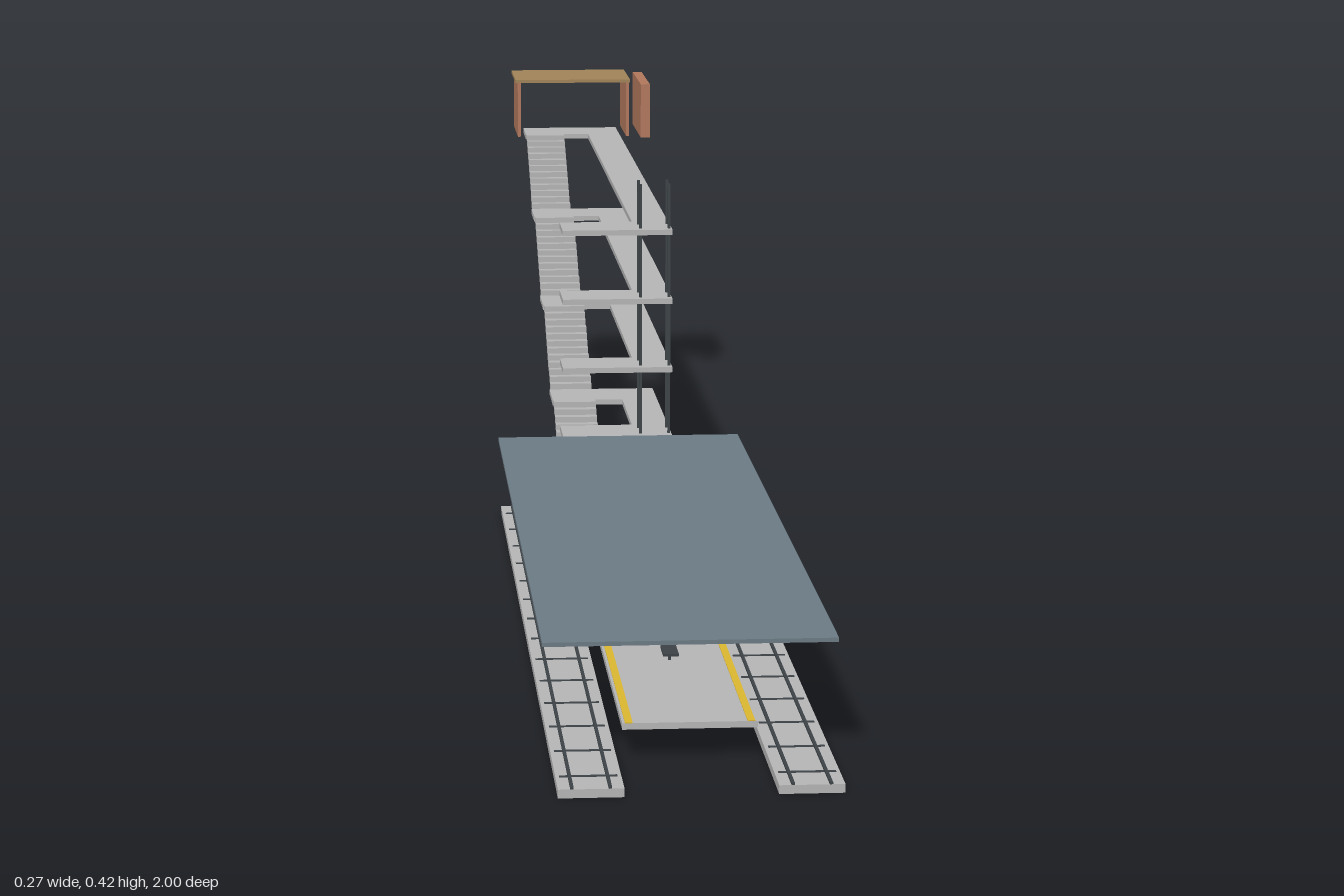
import * as THREE from 'three';

const mat = (name, color) => Object.assign(new THREE.MeshStandardMaterial({ color }), { name });

export function createModel() {
  const concrete = mat('concrete', 0xb4b4b4);
  const slate = mat('canopy slate', 0x6b7a84);
  const steel = mat('dark steel', 0x3c4246);
  const post = mat('post grey', 0x66707a);
  const yellow = mat('safety yellow', 0xd9b52e);
  const wall = mat('wall brown', 0xb0775c);
  const roof = mat('roof tan', 0xa08358);

  const model = new THREE.Group();
  model.name = 'station';

  // Box given by its limits on each axis
  const box = (name, material, [x0, x1], [y0, y1], [z0, z1], parent = model) => {
    const mesh = new THREE.Mesh(new THREE.BoxGeometry(x1 - x0, y1 - y0, z1 - z0), material);
    mesh.position.set((x0 + x1) / 2, (y0 + y1) / 2, (z0 + z1) / 2);
    mesh.name = name;
    parent.add(mesh);
    return mesh;
  };
  const around = (c, size) => [c - size / 2, c + size / 2];
  const group = (name) => {
    const g = new THREE.Group();
    g.name = name;
    model.add(g);
    return g;
  };

  // Two tracks: bed, sleepers and rails
  for (const side of [-1, 1]) {
    const track = group(side > 0 ? 'leftTrack' : 'rightTrack');
    const cx = side * 0.098;
    box('trackBed', concrete, around(cx, 0.059), [0, 0.008], [-0.16, 1], track);
    for (let i = 0; i < 14; i++) {
      box('sleeper', steel, around(cx, 0.052), [0.008, 0.0085], around(-0.12 + i * 0.083, 0.005), track);
    }
    for (const r of [-1, 1]) {
      box('rail', steel, around(cx + r * 0.017, 0.003), [0.008, 0.01], [-0.16, 1], track);
    }
  }

  // Platform with yellow edge strips
  const platform = group('platform');
  box('platformSlab', concrete, [-0.062, 0.062], [0.028, 0.034], [-0.113, 0.88], platform);
  for (const side of [-1, 1]) {
    box('edgeStrip', yellow, around(side * 0.056, 0.007), [0.034, 0.0347], [-0.04, 0.88], platform);
  }

  // Canopy on a central row of posts, with a bench beside each
  const canopy = group('canopy');
  box('canopyRoof', slate, [-0.135, 0.135], [0.108, 0.112], [-0.047, 0.885], canopy);
  for (const z of [0.11, 0.362, 0.61]) {
    box('canopyPost', post, around(0, 0.005), [0.034, 0.108], around(z, 0.005), canopy);
    box('benchSeat', steel, around(0, 0.015), [0.0415, 0.044], around(z + 0.043, 0.035), canopy);
    box('benchLeg', steel, around(0, 0.003), [0.034, 0.0415], around(z + 0.043, 0.003), canopy);
  }
  for (const side of [-1, 1]) {
    box('hangingSign', steel, around(side * 0.042, 0.002), [0.086, 0.094], [0.305, 0.37], canopy);
  }

  // Walkway floors: lobby at the lift, arm along the left, landing at the stairs
  const heights = [0.109, 0.187, 0.265, 0.343];
  const ends = [-0.33, -0.54, -0.75, -0.96];
  heights.forEach((y, i) => {
    const far = -ends[i];
    const outline = [
      [-0.062, 0.047], [0.061, 0.047], [0.061, far], [-0.062, far],
      [-0.062, far - 0.068], [0.02, far - 0.068], [0.02, 0.11], [-0.062, 0.11],
    ].map(([a, b]) => new THREE.Vector2(a, b));
    const geo = new THREE.ExtrudeGeometry(new THREE.Shape(outline), { depth: 0.006, bevelEnabled: false });
    geo.rotateX(-Math.PI / 2);
    const floor = new THREE.Mesh(geo, concrete);
    floor.position.y = y - 0.003;
    floor.name = 'walkway';
    model.add(floor);
  });

  // Stair flights between the landings
  const steps = 12;
  heights.forEach((top, i) => {
    const flight = group('stairFlight');
    const y0 = i ? heights[i - 1] + 0.003 : 0.034;
    const z0 = i ? ends[i - 1] : -0.113;
    const rise = (top + 0.003 - y0) / steps;
    const run = (ends[i] + 0.068 - z0) / steps;
    for (let s = 0; s < steps; s++) {
      box('step', concrete, [-0.061, -0.012], [y0 + (s - 0.1) * rise, y0 + (s + 1) * rise],
        [z0 + (s + 1) * run, z0 + s * run], flight);
    }
  });

  // Lift shaft corner posts
  for (const x of [0.026, 0.058]) {
    for (const z of [-0.059, -0.091]) {
      box('liftPost', steel, around(x, 0.003), [0.034, 0.396], around(z, 0.003));
    }
  }

  // Entrance house at the top, with a free-standing panel
  const house = group('entranceHouse');
  box('houseRoof', roof, [-0.076, 0.074], [0.416, 0.42], [-0.988, -0.873], house);
  for (const side of [-1, 1]) {
    box('houseWall', wall, around(side * 0.071, 0.004), [0.345, 0.416], [-0.984, -0.877], house);
  }
  box('sidePanel', wall, [0.087, 0.099], [0.345, 0.415], [-1, -0.858], house);

  return model;
}
